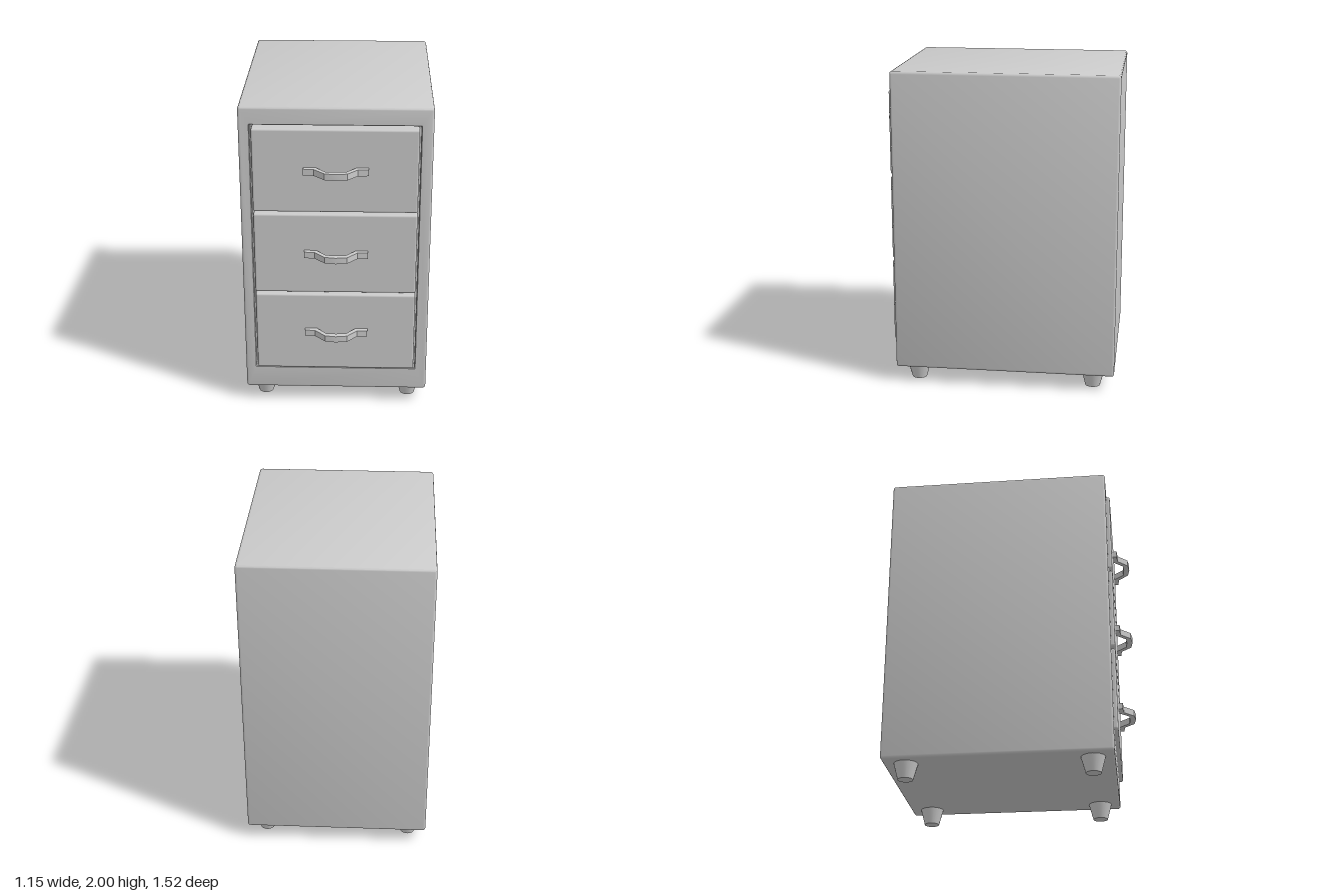
import * as THREE from 'three';
import { toCreasedNormals } from 'three/addons/utils/BufferGeometryUtils.js';
import { RoundedBoxGeometry } from 'three/addons/geometries/RoundedBoxGeometry.js';

const material = new THREE.MeshStandardMaterial({ color: 0xcccccc });

function add(parent, name, geometry, x = 0, y = 0, z = 0) {
  const mesh = new THREE.Mesh(geometry, material);
  mesh.name = name;
  mesh.position.set(x, y, z);
  parent.add(mesh);
  return mesh;
}

// Rounded rectangle loop, counter-clockwise seen from the front
function ring(w, h, r, cx, cy, z) {
  const points = [];
  const steps = 3;
  [[1, 1], [-1, 1], [-1, -1], [1, -1]].forEach(([sx, sy], c) => {
    for (let i = 0; i <= steps; i++) {
      const a = (c + i / steps) * Math.PI / 2;
      points.push([cx + sx * (w - r) + r * Math.cos(a), cy + sy * (h - r) + r * Math.sin(a), z]);
    }
  });
  return points;
}

// Skin a list of loops and close both ends
function loft(rings) {
  const n = rings[0].length;
  const index = [];
  for (let k = 0; k < rings.length - 1; k++) {
    for (let i = 0; i < n; i++) {
      const j = (i + 1) % n, a = k * n, b = a + n;
      index.push(a + i, a + j, b + j, a + i, b + j, b + i);
    }
  }
  const last = (rings.length - 1) * n;
  for (let i = 1; i < n - 1; i++) {
    index.push(0, i + 1, i, last, last + i, last + i + 1);
  }
  const geometry = new THREE.BufferGeometry();
  geometry.setAttribute('position', new THREE.Float32BufferAttribute(rings.flat(2), 3));
  geometry.setIndex(index);
  return toCreasedNormals(geometry, 0.6);
}

// Cabinet shell: rounded outer edges and a recess in the front
function cabinetGeometry() {
  const W = 0.574, H = 0.95, cy = 1.05, back = -0.76, front = 0.63, r = 0.015;
  const rings = [];
  const edge = (t, z, dir) => {
    const inset = r * (1 - Math.sin(t));
    rings.push(ring(W - inset, H - inset, r - inset + 0.002, 0, cy, z + dir * r * (1 - Math.cos(t))));
  };
  for (let i = 0; i <= 3; i++) edge(i * Math.PI / 6, back, 1);
  for (let i = 3; i >= 0; i--) edge(i * Math.PI / 6, front, -1);
  for (const [grow, z] of [[0.004, front], [0, front - 0.004], [0, front - 0.06]]) {
    rings.push(ring(0.504 + grow, 0.82 + grow, 0.004, -0.003, 1.07, z));
  }
  return loft(rings);
}

// Bent strap handle, drawn from above and extruded upwards
function handleGeometry() {
  const outer = [[-0.195, 0.682], [-0.13, 0.686], [-0.066, 0.75], [0, 0.76], [0.07, 0.75], [0.13, 0.686], [0.195, 0.682]];
  const inner = [[0.195, 0.652], [0.123, 0.652], [0.062, 0.718], [0, 0.723], [-0.062, 0.718], [-0.123, 0.652], [-0.195, 0.652]];
  const shape = new THREE.Shape([...outer, ...inner].map(([x, z]) => new THREE.Vector2(x, z)));
  const geometry = new THREE.ExtrudeGeometry(shape, { depth: 0.04, bevelEnabled: false });
  geometry.translate(0, 0, -0.02).rotateX(Math.PI / 2);
  return toCreasedNormals(geometry, 0.5);
}

export function createModel() {
  const model = new THREE.Group();
  model.name = 'drawerCabinet';
  add(model, 'cabinetBody', cabinetGeometry());

  // Three equal drawers, each with a handle
  const drawerFront = new RoundedBoxGeometry(0.988, 0.527, 0.085, 3, 0.012);
  const handle = handleGeometry();
  ['bottomDrawer', 'middleDrawer', 'topDrawer'].forEach((name, i) => {
    const drawer = new THREE.Group();
    drawer.name = name;
    drawer.position.y = 0.524 + i * 0.543;
    add(drawer, 'drawerFront', drawerFront, -0.003, 0, 0.6125);
    add(drawer, 'drawerHandle', handle, 0.002, 0.006, 0);
    model.add(drawer);
  });

  // Tapered feet
  const foot = new THREE.CylinderGeometry(0.075, 0.047, 0.105, 20);
  for (const [side, x] of [['left', 0.46], ['right', -0.46]]) {
    for (const [end, z] of [['Front', 0.5], ['Back', -0.622]]) {
      add(model, side + end + 'Foot', foot, x, 0.0525, z);
    }
  }
  return model;
}
